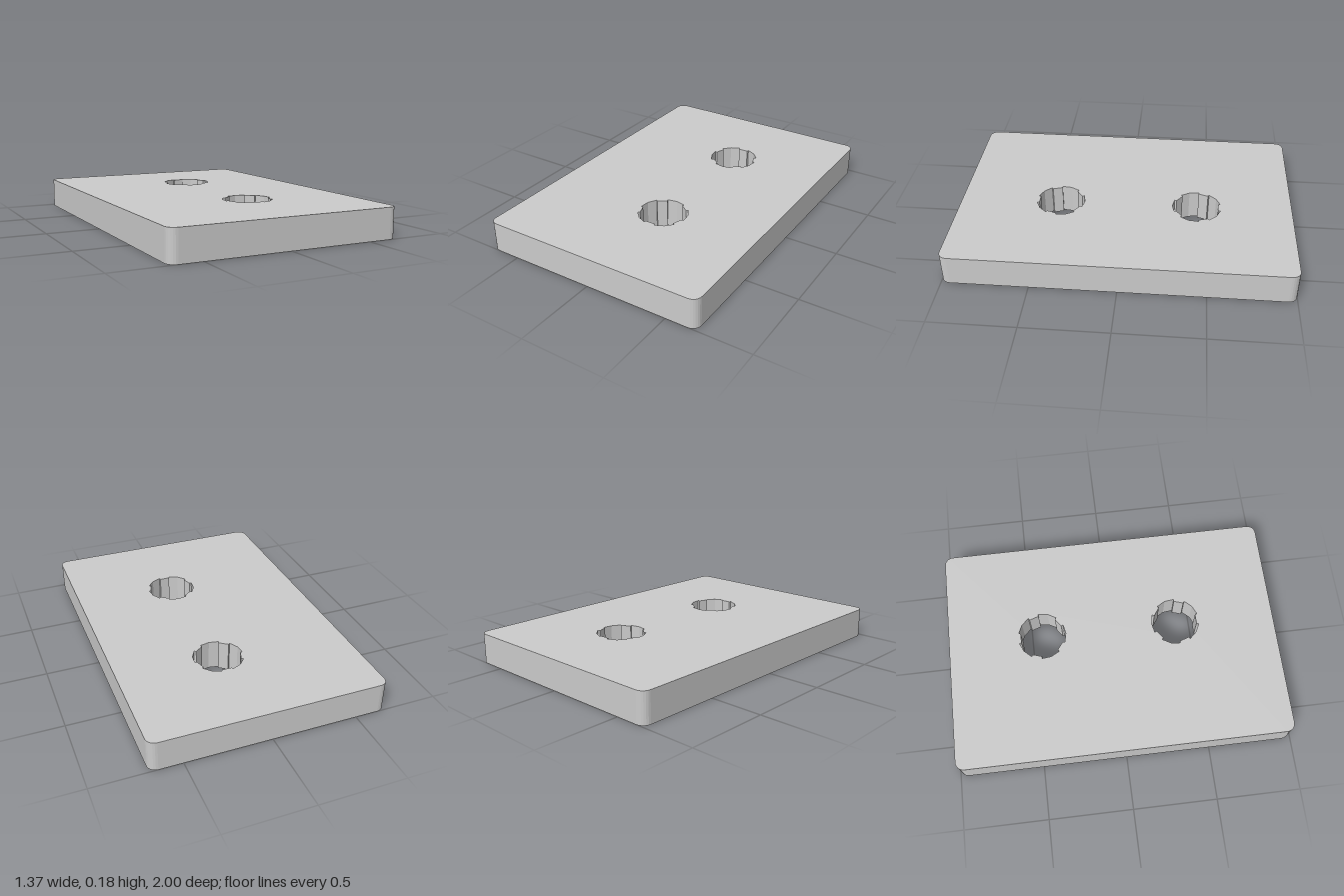
import * as THREE from 'three';

const HEIGHT = 0.18, HALF_X = 0.685, HALF_Z = 1, CORNER = 0.05;

// Rounded rectangle outline; shape y maps to -z
function plateOutline() {
  const pts = [];
  for (let c = 0; c < 4; c++) {
    const sx = c === 0 || c === 3 ? 1 : -1, sy = c < 2 ? 1 : -1;
    for (let i = 0; i <= 6; i++) {
      const a = (c + i / 6) * Math.PI / 2;
      pts.push(new THREE.Vector2(sx * (HALF_X - CORNER) + CORNER * Math.cos(a),
        sy * (HALF_Z - CORNER) + CORNER * Math.sin(a)));
    }
  }
  return pts;
}

// Round hole with five shallow teeth pointing inwards
function holeOutline(x, y, startDeg) {
  const steps = [[-13, 0.133], [13, 0.133], [13, 0.146], [36, 0.146], [59, 0.146]];
  const pts = [];
  for (let k = 0; k < 5; k++) {
    for (const [deg, r] of steps) {
      const a = THREE.MathUtils.degToRad(startDeg + 72 * k + deg);
      pts.push(new THREE.Vector2(x + r * Math.cos(a), y + r * Math.sin(a)));
    }
  }
  return pts;
}

// Vertical wall following a closed outline
function wall(outline) {
  const pos = [];
  outline.forEach((p, i) => {
    const q = outline[(i + 1) % outline.length];
    pos.push(p.x, 0, -p.y, q.x, 0, -q.y, q.x, HEIGHT, -q.y);
    pos.push(p.x, 0, -p.y, q.x, HEIGHT, -q.y, p.x, HEIGHT, -p.y);
  });
  const g = new THREE.BufferGeometry();
  g.setAttribute('position', new THREE.Float32BufferAttribute(pos, 3));
  g.computeVertexNormals();
  return g;
}

export function createModel() {
  const group = new THREE.Group();
  group.name = 'coverPlate';
  const material = new THREE.MeshStandardMaterial({ color: 0xcccccc, side: THREE.DoubleSide });
  const add = (name, geometry) => {
    const mesh = new THREE.Mesh(geometry, material);
    mesh.name = name;
    group.add(mesh);
  };

  const rim = plateOutline();
  const holes = [holeOutline(0.085, 0.43, 90), holeOutline(0.085, -0.395, -90)];

  // Top sheet with both holes
  const shape = new THREE.Shape(rim);
  holes.forEach((h) => shape.holes.push(new THREE.Path(h)));
  add('topPlate', new THREE.ShapeGeometry(shape).rotateX(-Math.PI / 2).translate(0, HEIGHT, 0));

  // Open-bottomed skirt and hole sleeves
  add('outerWall', wall(rim));
  add('rearHoleSleeve', wall(holes[0]));
  add('frontHoleSleeve', wall(holes[1]));
  return group;
}
